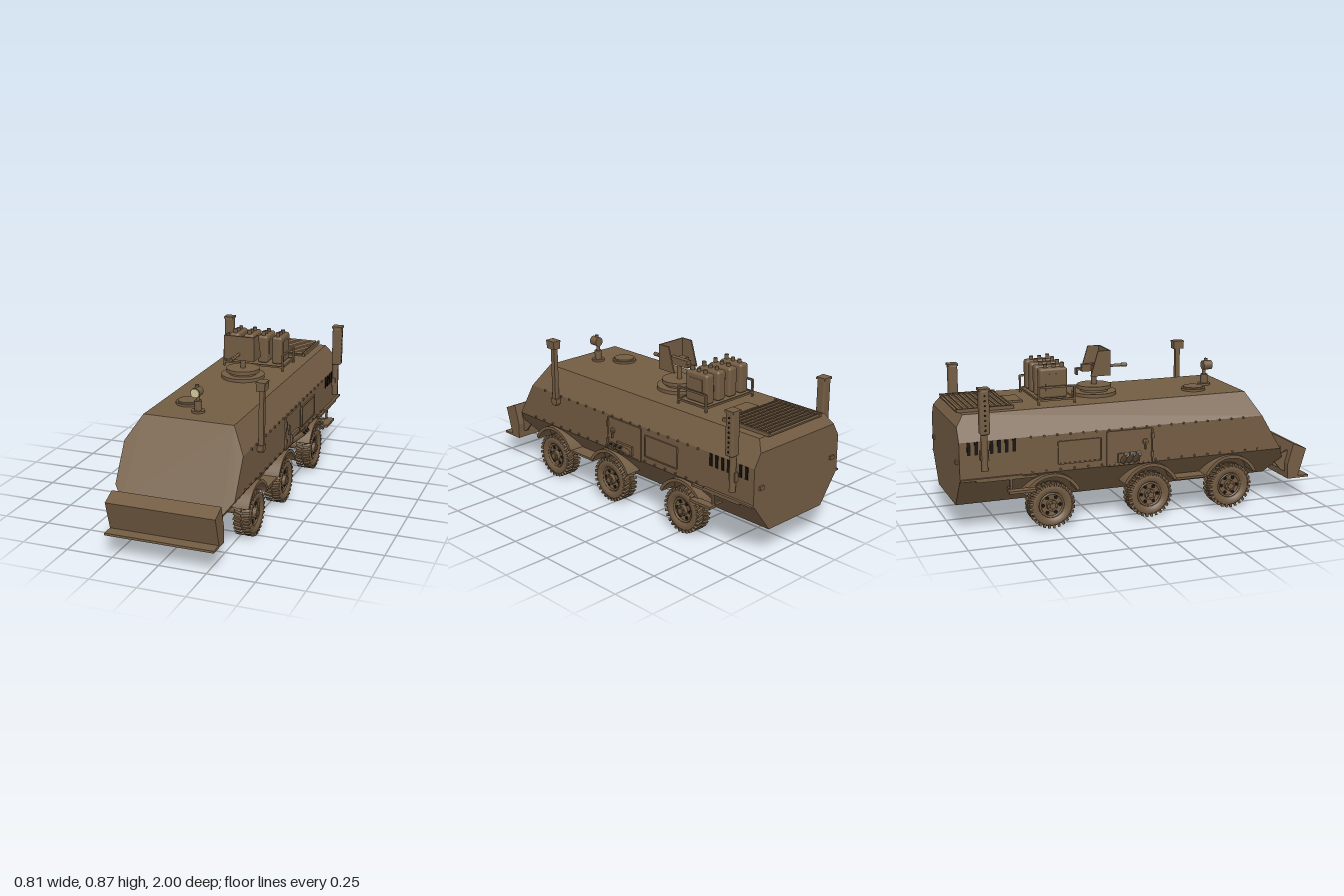
import * as THREE from 'three';
import { mergeGeometries } from 'three/addons/utils/BufferGeometryUtils.js';
import { RoundedBoxGeometry } from 'three/addons/geometries/RoundedBoxGeometry.js';
import { ConvexGeometry } from 'three/addons/geometries/ConvexGeometry.js';

const material = (name, color) => {
  const m = new THREE.MeshStandardMaterial({ color });
  m.name = name;
  return m;
};

// Geometry helpers: boxes and cylinders placed by their centre
const box = (w, h, d, x, y, z) => new THREE.BoxGeometry(w, h, d).translate(x, y, z);
const cylY = (r, h, x, y, z, n = 24) => new THREE.CylinderGeometry(r, r, h, n).translate(x, y, z);
const cylX = (r, h, x, y, z, n = 24) => new THREE.CylinderGeometry(r, r, h, n).rotateZ(Math.PI / 2).translate(x, y, z);
const cylZ = (r, h, x, y, z, n = 24) => new THREE.CylinderGeometry(r, r, h, n).rotateX(Math.PI / 2).translate(x, y, z);

// Extrudes a (z, y) outline across the width from x0 to x1
function acrossX(shape, x0, x1) {
  return new THREE.ExtrudeGeometry(shape, { depth: x1 - x0, bevelEnabled: false, curveSegments: 18 })
    .rotateY(-Math.PI / 2).translate(x1, 0, 0);
}
const outline = (pts) => new THREE.Shape(pts.map(([z, y]) => new THREE.Vector2(z, y)));

export function createModel() {
  const paint = material('brown paint', 0x735c43);
  const dark = material('dark openings', 0x14110d);
  const glass = material('lamp glass', 0xcfc79a);
  const model = new THREE.Group();

  const add = (name, parts, mat = paint, parent = model) => {
    const list = Array.isArray(parts) ? parts : [parts];
    const mesh = new THREE.Mesh(list.length > 1 ? mergeGeometries(list) : list[0], mat);
    mesh.name = name;
    parent.add(mesh);
    return mesh;
  };

  // Hull: faceted shell with sloped nose, chamfered roof edges and keel
  const hullPoints = [];
  for (const s of [-1, 1]) {
    for (const [x, y, z] of [
      [0.2, 0.145, -0.99], [0.32, 0.305, -0.99], [0.32, 0.5, -0.99], [0.278, 0.57, -0.99], [0.245, 0.625, -0.95],
      [0.245, 0.625, 0.61], [0.32, 0.5, 0.684], [0.32, 0.305, 0.8], [0.271, 0.24, 0.8386], [0.2, 0.145, 0.76],
    ]) hullPoints.push(new THREE.Vector3(s * x, y, z));
  }
  add('hull', new ConvexGeometry(hullPoints));

  // Dozer blade with forward lip and rear ribs
  add('blade', acrossX(outline([[0.9, 0.315], [0.98, 0.28], [0.93, 0.115], [0.87, 0.115], [0.868, 0.2]]), -0.29, 0.29));
  add('bladeLip', box(0.58, 0.012, 0.09, 0, 0.121, 0.955));
  const ribs = [];
  for (let i = 0; i < 7; i++) {
    const x = -0.246 + i * 0.082;
    ribs.push(acrossX(outline([[0.885, 0.27], [0.87, 0.15], [0.845, 0.16], [0.8, 0.215], [0.83, 0.25]]), x - 0.006, x + 0.006));
  }
  add('bladeRibs', ribs);

  // Wheel, built around the origin with its outer face toward +x
  const tyreProfile = [[0.07, -0.04], [0.1, -0.045], [0.111, -0.036], [0.111, 0.036], [0.1, 0.045], [0.072, 0.042], [0.068, 0.026], [0, 0.026]];
  const tyre = new THREE.LatheGeometry(tyreProfile.map(([r, y]) => new THREE.Vector2(r, y)), 36).rotateZ(-Math.PI / 2);
  const lugs = [];
  for (let i = 0; i < 28; i++) {
    for (const s of [-1, 1]) {
      const lug = new THREE.BoxGeometry(0.041, 0.018, 0.013);
      lug.rotateY(s * 0.25).translate(s * 0.0235, 0.1135, 0);
      lugs.push(lug.rotateX((i + (s > 0 ? 0.5 : 0)) / 28 * Math.PI * 2));
    }
  }
  const hub = [cylX(0.068, 0.01, -0.035, 0, 0), cylX(0.029, 0.022, 0.035, 0, 0), cylX(0.016, 0.012, 0.047, 0, 0, 12),
    new THREE.TorusGeometry(0.062, 0.006, 8, 32).rotateY(Math.PI / 2).translate(0.03, 0, 0)];
  const holes = [];
  for (let i = 0; i < 6; i++) {
    const a = (i + 0.5) / 6 * Math.PI * 2;
    holes.push(cylX(0.01, 0.004, 0.027, Math.cos(a) * 0.045, Math.sin(a) * 0.045, 10));
    hub.push(cylX(0.004, 0.008, 0.047, Math.cos(a + 0.5) * 0.022, Math.sin(a + 0.5) * 0.022, 6));
  }
  const treadGeo = mergeGeometries(lugs), hubGeo = mergeGeometries(hub), holeGeo = mergeGeometries(holes);

  for (const s of [-1, 1]) {
    const side = new THREE.Group();
    side.name = s > 0 ? 'leftSide' : 'rightSide';
    model.add(side);
    const X = (v) => s * v;
    const span = (shape, a, b) => acrossX(shape, Math.min(X(a), X(b)), Math.max(X(a), X(b)));

    for (const z of [0.497, 0.03, -0.513]) {
      const wheel = new THREE.Group();
      wheel.name = 'wheel';
      wheel.position.set(X(0.284), 0.125, z);
      if (s < 0) wheel.rotation.y = Math.PI;
      add('tyre', tyre, paint, wheel);
      add('tread', treadGeo, paint, wheel);
      add('hub', hubGeo, paint, wheel);
      add('hubHoles', holeGeo, dark, wheel);
      side.add(wheel);
      add('axleStub', cylX(0.025, 0.12, X(0.2), 0.13, z, 12), paint, side);
      // Arched mudguard
      const arch = new THREE.Shape();
      arch.absarc(z, 0.135, 0.163, 0.42, Math.PI - 0.42, false);
      arch.absarc(z, 0.135, 0.146, Math.PI - 0.42, 0.42, true);
      add('mudguard', span(arch, 0.24, 0.335), paint, side);
    }

    // Lower rails, ledge and steps
    add('lowerRails', [box(0.08, 0.012, 0.19, X(0.285), 0.195, 0.27), box(0.025, 0.01, 0.32, X(0.322), 0.305, -0.83),
      box(0.03, 0.012, 0.32, X(0.318), 0.296, -0.75)], paint, side);
    add('step', [box(0.045, 0.014, 0.14, X(0.346), 0.23, -0.68), box(0.09, 0.012, 0.012, X(0.295), 0.23, -0.63),
      box(0.09, 0.012, 0.012, X(0.295), 0.23, -0.73), box(0.012, 0.075, 0.012, X(0.326), 0.265, -0.73)], paint, side);

    // Door, access panel and their raised frames
    const frame = (z, y, w, h) => [box(0.01, 0.007, w, X(0.323), y + h / 2, z), box(0.01, 0.007, w, X(0.323), y - h / 2, z),
      box(0.01, h, 0.007, X(0.323), y, z + w / 2), box(0.01, h, 0.007, X(0.323), y, z - w / 2)];
    add('door', [box(0.01, 0.175, 0.24, X(0.321), 0.397, -0.085), ...frame(-0.085, 0.397, 0.25, 0.18),
      cylX(0.016, 0.012, X(0.328), 0.42, 0.0, 12), box(0.01, 0.04, 0.008, X(0.332), 0.4, 0.0),
      box(0.014, 0.03, 0.014, X(0.327), 0.45, 0.04), box(0.014, 0.03, 0.014, X(0.327), 0.35, 0.04)], paint, side);
    add('accessPanel', [box(0.006, 0.115, 0.23, X(0.321), 0.402, -0.36), ...frame(-0.36, 0.402, 0.23, 0.115)], paint, side);

    // Rivet rows
    const rivets = [];
    for (let i = 0; i < 18; i++) {
      rivets.push(cylX(0.006, 0.01, X(0.322), 0.498, 0.57 - i * 0.07, 6));
      rivets.push(cylX(0.006, 0.01, X(0.322), 0.316, 0.66 - i * 0.075, 6));
    }
    add('rivets', rivets, paint, side);

    // Engine vents
    const vents = [];
    for (let i = 0; i < 7; i++) vents.push(box(0.006, 0.066, 0.018, X(0.3205), 0.465, -0.708 - i * 0.039));
    add('vents', vents, dark, side);

    // Smoke dischargers angled up and outward
    const tubes = [box(0.014, 0.05, 0.12, X(0.332), 0.345, -0.095)];
    const bores = [];
    for (const z of [-0.06, -0.095, -0.13]) {
      const place = (g) => g.rotateZ(-s * 0.87).translate(X(0.365), 0.354, z);
      tubes.push(place(new THREE.CylinderGeometry(0.0145, 0.0145, 0.08, 14)));
      bores.push(place(new THREE.CylinderGeometry(0.009, 0.009, 0.003, 14).translate(0, 0.04, 0)));
    }
    add('smokeDischargers', tubes, paint, side);
    add('dischargerBores', bores, dark, side);

    // Exhaust stack with perforated shroud
    add('exhaust', [cylY(0.017, 0.2, X(0.335), 0.45, -0.865, 14), box(0.024, 0.05, 0.044, X(0.329), 0.43, -0.865),
      new RoundedBoxGeometry(0.054, 0.228, 0.05, 2, 0.01).translate(X(0.343), 0.654, -0.865).toNonIndexed(),
    ].map((g) => (g.index ? g.toNonIndexed() : g)), paint, side);
    add('exhaustCap', box(0.058, 0.012, 0.056, X(0.343), 0.769, -0.865), paint, side);
    const perforations = [];
    for (let i = 0; i < 8; i++) perforations.push(cylX(0.006, 0.003, X(0.37), 0.565 + i * 0.025, -0.865, 8));
    add('exhaustPerforations', perforations, dark, side);

    add('rearFitting', box(0.03, 0.02, 0.014, X(0.27), 0.39, -0.993), paint, side);
  }

  // Periscope mast on the left flank
  add('mast', [box(0.026, 0.34, 0.026, 0.336, 0.615, 0.46), box(0.034, 0.03, 0.045, 0.334, 0.47, 0.46),
    box(0.045, 0.044, 0.06, 0.338, 0.796, 0.463), box(0.05, 0.008, 0.064, 0.338, 0.816, 0.463)]);

  // Searchlight on a short stalk
  add('searchlight', [cylY(0.035, 0.012, 0, 0.63, 0.48), cylY(0.02, 0.06, 0, 0.655, 0.48), cylY(0.01, 0.05, 0, 0.7, 0.48, 12),
    cylZ(0.026, 0.05, 0, 0.735, 0.495), cylY(0.01, 0.012, 0, 0.767, 0.49, 12)]);
  add('searchlightGlass', cylZ(0.022, 0.004, 0, 0.735, 0.521), glass);

  // Crew hatch
  add('hatch', [cylY(0.066, 0.012, -0.1, 0.631, 0.37, 32), cylY(0.055, 0.01, -0.1, 0.64, 0.37, 32)]);

  // Gun mount: ring, turntable, weapon and open shield
  add('turretRing', [cylY(0.12, 0.018, 0, 0.634, -0.17, 40), cylY(0.075, 0.04, 0, 0.645, -0.17, 32), cylY(0.092, 0.02, 0, 0.667, -0.17, 40)]);
  add('gun', [cylY(0.014, 0.09, 0, 0.715, -0.17, 12), cylZ(0.008, 0.15, 0, 0.77, -0.055, 12), cylZ(0.011, 0.03, 0, 0.77, 0.002, 12),
    box(0.03, 0.04, 0.13, 0, 0.77, -0.175), box(0.035, 0.045, 0.05, -0.033, 0.765, -0.165),
    box(0.035, 0.01, 0.04, 0, 0.765, -0.25), box(0.03, 0.035, 0.01, 0, 0.752, -0.268)]);
  const wing = [[-0.107, 0.87], [-0.175, 0.87], [-0.217, 0.735], [-0.107, 0.735]];
  add('gunShield', box(0.176, 0.135, 0.008, 0, 0.8025, -0.109));
  add('shieldWings', [acrossX(outline(wing), -0.088, -0.08), acrossX(outline(wing), 0.08, 0.088)]);

  // Fuel cans in their rack
  for (let i = 0; i < 4; i++) {
    const x = -0.127 + i * 0.0847;
    const can = new THREE.Group();
    can.name = 'fuelCan';
    model.add(can);
    add('canBody', new RoundedBoxGeometry(0.06, 0.158, 0.15, 3, 0.014).translate(x, 0.731, -0.443), paint, can);
    add('canCaps', [-0.39, -0.435, -0.48].map((z, k) => cylY(0.011, 0.03, x, k ? 0.812 : 0.818, z, 12)), paint, can);
    add('canRibs', [-1, 1].map((s) => box(0.004, 0.1, 0.09, x + s * 0.03, 0.73, -0.443)), paint, can);
  }
  const rack = [];
  for (const y of [0.648, 0.715]) {
    for (const s of [-1, 1]) rack.push(box(0.01, 0.01, 0.2, s * 0.175, y, -0.435));
  }
  for (const z of [-0.338, -0.532]) {
    rack.push(box(0.35, 0.01, 0.01, 0, 0.648, z));
    for (const s of [-1, 1]) rack.push(box(0.01, 0.095, 0.01, s * 0.175, 0.67, z));
  }
  rack.push(box(0.34, 0.008, 0.19, 0, 0.646, -0.435));
  add('canRack', rack);

  // Engine deck with louvres
  const deck = [box(0.4, 0.008, 0.3, 0, 0.629, -0.82), box(0.14, 0.012, 0.08, 0, 0.63, -0.63),
    box(0.012, 0.016, 0.3, -0.194, 0.635, -0.82), box(0.012, 0.016, 0.3, 0.194, 0.635, -0.82)];
  for (let i = 0; i < 10; i++) deck.push(new THREE.BoxGeometry(0.36, 0.005, 0.022).rotateX(0.3).translate(0, 0.638, -0.69 - i * 0.029));
  add('engineDeck', deck);

  return model;
}
